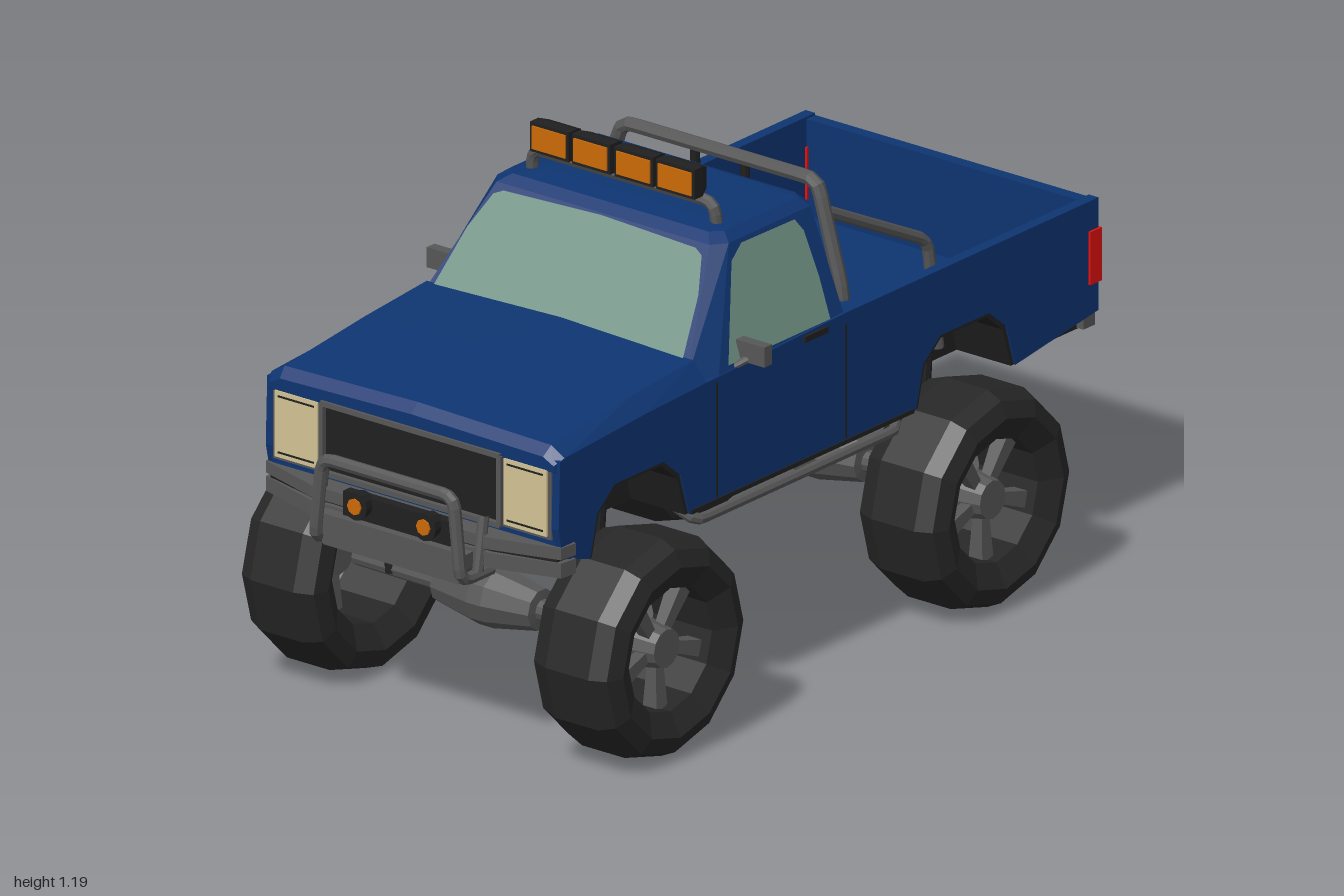
import * as THREE from 'three';

const mat = (name, color, side = THREE.FrontSide) => {
  const m = new THREE.MeshStandardMaterial({ color, side, flatShading: true });
  m.name = name;
  return m;
};

export function createModel() {
  const truck = new THREE.Group();
  truck.name = 'pickupTruck';
  const blue = mat('bodyBlue', 0x0e3470), glass = mat('glass', 0x6f9084, THREE.DoubleSide);
  const grey = mat('metalGrey', 0x565656), rubber = mat('rubber', 0x262626);
  const dark = mat('darkTrim', 0x202020), cream = mat('headlightCream', 0xd2c294);
  const orange = mat('lampOrange', 0xcc6a08), red = mat('tailRed', 0xe01010);

  // helpers
  const add = (name, geo, m, parent = truck) => {
    const mesh = new THREE.Mesh(geo, m);
    mesh.name = name;
    parent.add(mesh);
    return mesh;
  };
  const box = (name, m, x0, x1, y0, y1, z0, z1) => add(name,
    new THREE.BoxGeometry(Math.abs(x1 - x0), y1 - y0, z1 - z0)
      .translate((x0 + x1) / 2, (y0 + y1) / 2, (z0 + z1) / 2), m);
  const shape = pts => new THREE.Shape(pts.map(p => new THREE.Vector2(...p)));
  // outline in (z, y), extruded across x
  const sideExtrude = (name, m, pts, x0, x1) => add(name,
    new THREE.ExtrudeGeometry(shape(pts), { depth: x1 - x0, bevelEnabled: false })
      .rotateY(-Math.PI / 2).translate(x1, 0, 0), m);
  // mirrored pair of side extrusions
  const sidePair = (name, m, pts, a, b) => {
    sideExtrude(name + 'Left', m, pts, a, b);
    sideExtrude(name + 'Right', m, pts, -b, -a);
  };
  // right half outline in (x, z), mirrored and extruded up y
  const planExtrude = (name, m, half, y0, y1) => {
    const pts = [...half, ...half.map(([x, z]) => [-x, z]).reverse()];
    return add(name, new THREE.ExtrudeGeometry(shape(pts), { depth: y1 - y0, bevelEnabled: false })
      .rotateX(Math.PI / 2).translate(0, y1, 0), m);
  };
  // bent pipe with short rounded corners
  const pipe = (name, m, pts, r = 0.014) => {
    const v = pts.map(p => new THREE.Vector3(...p)), path = new THREE.CurvePath();
    let from = v[0];
    for (let i = 1; i < v.length - 1; i++) {
      const d = Math.min(0.03, v[i].distanceTo(v[i - 1]) / 2, v[i].distanceTo(v[i + 1]) / 2);
      const a = v[i].clone().add(v[i - 1].clone().sub(v[i]).setLength(d));
      const b = v[i].clone().add(v[i + 1].clone().sub(v[i]).setLength(d));
      path.add(new THREE.LineCurve3(from, a));
      path.add(new THREE.QuadraticBezierCurve3(a, v[i], b));
      from = b;
    }
    path.add(new THREE.LineCurve3(from, v[v.length - 1]));
    return add(name, new THREE.TubeGeometry(path, v.length * 10, r, 8), m);
  };
  // closed solid through equal-sized rings
  const loft = (name, m, rings) => {
    const n = rings[0].length, tris = [], last = rings.length - 1;
    for (let i = 0; i < last; i++) for (let j = 0; j < n; j++) {
      const k = (j + 1) % n, [a, b] = [rings[i], rings[i + 1]];
      tris.push([a[j], a[k], b[k]], [a[j], b[k], b[j]]);
    }
    for (let j = 1; j < n - 1; j++) {
      tris.push([rings[0][0], rings[0][j + 1], rings[0][j]]);
      tris.push([rings[last][0], rings[last][j], rings[last][j + 1]]);
    }
    const V = p => new THREE.Vector3(...p);
    const vol = tris.reduce((s, [a, b, c]) => s + V(a).dot(V(b).cross(V(c))), 0);
    if (vol < 0) tris.forEach(t => t.reverse());
    const g = new THREE.BufferGeometry();
    g.setAttribute('position', new THREE.Float32BufferAttribute(tris.flat(2), 3));
    g.computeVertexNormals();
    return add(name, g, m);
  };
  // flat window pane mapped onto a sloping face
  const pane = (name, pts, map) => {
    const g = new THREE.ShapeGeometry(shape(pts)), p = g.attributes.position;
    for (let i = 0; i < p.count; i++) p.setXYZ(i, ...map(p.getX(i), p.getY(i)));
    g.computeVertexNormals();
    return add(name, g, glass);
  };

  // body sides with wheel arches
  const FRONT = 0.62, REAR = -0.515;
  const arch = (c, s = 1) => [[-0.175, 0], [-0.145, 0.1], [-0.085, 0.15], [0.085, 0.15], [0.145, 0.1], [0.17, 0]]
    .map(([z, y]) => [c + z * s, 0.5 + y * s]);
  sidePair('bodySide', blue, [[-0.98, 0.54], ...arch(REAR), ...arch(FRONT), [0.885, 0.53],
    [0.9, 0.6], [0.895, 0.76], [0.39, 0.79], [-0.1, 0.805], [-0.98, 0.805]], 0.385, 0.412);
  sidePair('rockerStrip', dark, [[-0.335, 0.497], [0.44, 0.497], [0.44, 0.507], [-0.335, 0.507]], 0.385, 0.415);
  for (const [name, c] of [['front', FRONT], ['rear', REAR]]) {
    sidePair(name + 'ArchLiner', dark, [...arch(c), ...arch(c, 0.94).reverse()], 0.25, 0.408);
    sidePair(name + 'WheelBox', blue, [...arch(c, 1.1), ...arch(c).reverse()], 0.235, 0.39);
    sidePair(name + 'WheelBoxSide', blue, arch(c, 1.1), 0.225, 0.245);
    sidePair(name + 'WellWall', dark, arch(c), 0.245, 0.256);
  }
  // underbody and bed floor, notched around the wheels
  const notch = c => [[0.39, c + 0.17], [0.25, c + 0.17], [0.25, c - 0.17], [0.39, c - 0.17]];
  planExtrude('underbody', dark, [[0.39, 0.86], ...notch(FRONT), ...notch(REAR), [0.39, -0.95]], 0.505, 0.555);
  planExtrude('bedFloor', blue, [[0.39, -0.14], ...notch(REAR), [0.39, -0.97]], 0.555, 0.572);
  box('bedFrontWall', blue, -0.39, 0.39, 0.55, 0.8, -0.17, -0.12);
  box('tailgate', blue, -0.39, 0.39, 0.555, 0.8, -0.98, -0.95);
  box('tailgatePanel', blue, -0.3, 0.3, 0.62, 0.75, -0.986, -0.975);

  // bonnet
  const hoodRing = (z, w, low, shoulder, wt, top) => [[-w, low, z], [w, low, z], [w, shoulder, z],
    [wt, top, z], [0, top + 0.008, z], [-wt, top, z], [-w, shoulder, z]];
  loft('bonnet', blue, [hoodRing(0.903, 0.4, 0.735, 0.75, 0.37, 0.765), hoodRing(0.88, 0.412, 0.72, 0.765, 0.375, 0.787),
    hoodRing(0.6, 0.412, 0.72, 0.782, 0.375, 0.817), hoodRing(0.385, 0.412, 0.72, 0.79, 0.375, 0.834)]);
  box('nosePanel', blue, -0.4, 0.4, 0.54, 0.75, 0.84, 0.893);

  // cab and windows
  const cabRing = (y, xf, zf, xs, zs, zr, zb) => [[xf, zf], [xs, zs], [xs, zr], [xf, zb],
    [-xf, zb], [-xs, zr], [-xs, zs], [-xf, zf]].map(([x, z]) => [x, y, z]);
  loft('cab', blue, [cabRing(0.79, 0.38, 0.418, 0.41, 0.34, -0.1, -0.13), cabRing(1.04, 0.3, 0.235, 0.325, 0.2, -0.085, -0.105),
    cabRing(1.058, 0.275, 0.21, 0.3, 0.185, -0.075, -0.092), cabRing(1.066, 0.22, 0.16, 0.24, 0.14, -0.05, -0.07)]);
  pane('windscreen', [[-0.355, 0.812], [0.355, 0.812], [0.325, 0.95], [0.293, 1.02], [0.27, 1.03], [0, 1.038],
    [-0.27, 1.03], [-0.293, 1.02], [-0.325, 0.95]], (x, y) => [x, y, 0.423 - 0.732 * (y - 0.79)]);
  pane('rearWindow', [[-0.27, 0.86], [0.27, 0.86], [0.25, 1.01], [-0.25, 1.01]],
    (x, y) => [x, y, -0.134 + 0.1 * (y - 0.79)]);
  for (const s of [1, -1]) {
    pane('sideWindow', [[0.305, 0.805], [0.21, 1.005], [0.165, 1.032], [-0.02, 1.03], [-0.04, 1], [-0.05, 0.9], [-0.05, 0.805]],
      (z, y) => [s * (0.414 - 0.34 * (y - 0.79)), y, z]);
    for (const z of [0.35, -0.1]) box('doorSeam', dark, s * 0.411, s * 0.4135, 0.51, 0.78, z - 0.003, z + 0.003);
    box('doorHandle', dark, s * 0.405, s * 0.42, 0.782, 0.796, -0.03, 0.05);
    // mirrors
    box('mirrorHead', grey, s * 0.395, s * 0.475, 0.803, 0.85, 0.235, 0.262).rotation.y = 0;
    pipe('mirrorArm', grey, [[s * 0.39, 0.785, 0.29], [s * 0.425, 0.81, 0.255]], 0.009);
    // lamps on the body
    box('headlightFrame', grey, s * 0.255, s * 0.392, 0.572, 0.745, 0.885, 0.9);
    box('headlight', cream, s * 0.262, s * 0.382, 0.58, 0.736, 0.896, 0.906);
    for (const y of [0.592, 0.724]) box('headlightTrim', dark, s * 0.272, s * 0.372, y - 0.002, y + 0.002, 0.9, 0.908);
    box('tailLight', red, s * 0.38, s * 0.418, 0.61, 0.735, -0.985, -0.945);
    // running boards and suspension
    pipe('sideStep', grey, [[s * 0.34, 0.51, 0.43], [s * 0.4, 0.468, 0.41], [s * 0.4, 0.468, -0.3], [s * 0.34, 0.51, -0.32]], 0.013);
    for (const z of [FRONT, REAR])
      for (const dz of [0.012, -0.012])
        pipe('strut', dark, [[s * 0.275, 0.25, z + dz], [s * 0.29, 0.64, z + dz * 2]], 0.014);
    // roll bar rear brace
    pipe('rollBarBrace', grey, [[s * 0.295, 0.995, -0.17], [s * 0.335, 0.84, -0.48], [s * 0.34, 0.58, -0.51]], 0.014);
    pipe('rollBarPost', dark, [[s * 0.07, 1.06, -0.17], [s * 0.07, 0.575, -0.2]], 0.011);
    box('postFoot', dark, s * 0.04, s * 0.1, 0.57, 0.59, -0.25, -0.19);
  }

  // grille
  box('grille', dark, -0.245, 0.245, 0.58, 0.735, 0.885, 0.898);
  for (const y of [0.575, 0.738]) box('grilleRail', grey, -0.252, 0.252, y - 0.006, y + 0.006, 0.885, 0.91);
  for (const x of [-0.25, 0.25]) box('grilleEdge', grey, x - 0.006, x + 0.006, 0.575, 0.738, 0.885, 0.91);

  // front bumper, skid plate and guard
  const bumper = d => [[0.39, 0.84], [0.42 - d, 0.85], [0.415 - d, 0.895], [0.25, 0.945 - d]];
  planExtrude('bumperLower', grey, bumper(0), 0.487, 0.522);
  planExtrude('bumperCore', dark, bumper(0.012), 0.52, 0.532);
  planExtrude('bumperUpper', grey, bumper(0), 0.53, 0.558);
  loft('skidPlate', grey, [[0.18, 0.2, 0.88], [0.19, 0.21, 0.975]].map(([a, b, z]) =>
    [[-a, 0.442, z], [a, 0.442, z], [b, 0.48, z], [b, 0.515, z], [-b, 0.515, z], [-b, 0.48, z]]));
  pipe('frontGuard', grey, [[0.205, 0.455, 0.88], [0.205, 0.455, 0.985], [0.185, 0.65, 0.985],
    [-0.185, 0.65, 0.985], [-0.205, 0.455, 0.985], [-0.205, 0.455, 0.88]], 0.015);
  for (const s of [1, -1]) {
    pipe('guardUpright', grey, [[s * 0.225, 0.475, 0.95], [s * 0.225, 0.6, 0.93]], 0.013);
    const lamp = add('fogLamp', new THREE.CylinderGeometry(0.033, 0.028, 0.035, 12).rotateX(Math.PI / 2), dark);
    lamp.position.set(s * 0.097, 0.555, 0.962);
    const lens = add('fogLens', new THREE.CylinderGeometry(0.019, 0.019, 0.006, 8).rotateX(Math.PI / 2), orange);
    lens.position.set(s * 0.097, 0.555, 0.981);
  }
  box('winchPlate', dark, -0.15, 0.15, 0.515, 0.572, 0.93, 0.955);

  // rear bumper and exhaust
  planExtrude('rearBumper', grey, [[0.41, -0.93], [0.41, -0.97], [0.38, -0.992], [0.13, -0.992], [0.12, -0.98]], 0.508, 0.555);
  box('towStep', grey, -0.12, 0.12, 0.495, 0.53, -0.985, -0.9);
  pipe('exhaust', grey, [[-0.2, 0.5, -0.6], [-0.24, 0.478, -0.74], [-0.28, 0.478, -0.82], [-0.3, 0.49, -0.94]], 0.018);

  // roll bar hoop
  pipe('rollBarHoop', grey, [[0.35, 0.575, -0.17], [0.345, 0.82, -0.17], [0.275, 1.063, -0.17],
    [-0.275, 1.063, -0.17], [-0.345, 0.82, -0.17], [-0.35, 0.575, -0.17]], 0.017);

  // roof lamp bar
  pipe('roofBar', grey, [[0.26, 1.05, 0.16], [0.255, 1.108, 0.165], [-0.255, 1.108, 0.165], [-0.26, 1.05, 0.16]], 0.014);
  for (const x of [-0.177, -0.06, 0.06, 0.177]) {
    const ring = (w, h, z) => [[x - w, 1.154 - h, z], [x + w, 1.154 - h, z], [x + w, 1.154 + h, z], [x - w, 1.154 + h, z]];
    loft('roofLamp', dark, [ring(0.044, 0.025, 0.148), ring(0.054, 0.035, 0.175), ring(0.054, 0.035, 0.203)]);
    box('roofLampLens', orange, x - 0.047, x + 0.047, 1.127, 1.181, 0.2, 0.207);
  }

  // axles with swollen differentials
  for (const z of [FRONT, REAR]) {
    const prof = [[0, -0.38], [0.022, -0.38], [0.025, -0.14], [0.048, -0.138], [0.07, -0.02], [0.07, 0.02],
      [0.048, 0.138], [0.025, 0.14], [0.022, 0.38], [0, 0.38]].map(p => new THREE.Vector2(...p));
    add('axle', new THREE.LatheGeometry(prof, 10).rotateZ(-Math.PI / 2).translate(0, 0.26, z), grey);
  }

  // wheels: faceted tyre, open rim, hub and five spokes
  const tyre = [[0.145, -0.08], [0.2, -0.115], [0.24, -0.105], [0.256, -0.06], [0.256, 0.06], [0.238, 0.098],
    [0.2, 0.114], [0.145, 0.085], [0.145, -0.08]].map(p => new THREE.Vector2(...p));
  for (const s of [1, -1]) for (const z of [FRONT, REAR]) {
    const wheel = new THREE.Group();
    wheel.name = 'wheel';
    wheel.position.set(s * 0.415, 0.256, z);
    if (s < 0) wheel.rotation.y = Math.PI;
    truck.add(wheel);
    add('tyre', new THREE.LatheGeometry(tyre, 12).rotateZ(-Math.PI / 2), rubber, wheel);
    add('hub', new THREE.CylinderGeometry(0.045, 0.056, 0.06, 12).rotateZ(-Math.PI / 2).translate(0.045, 0, 0), grey, wheel);
    for (let i = 0; i < 5; i++) {
      const g = new THREE.CylinderGeometry(0.028, 0.018, 0.11, 4, 1).rotateY(Math.PI / 4).translate(0, 0.095, 0);
      add('spoke', g.rotateX(Math.PI + i * Math.PI * 0.4).translate(0.042, 0, 0), grey, wheel);
    }
  }
  return truck;
}
